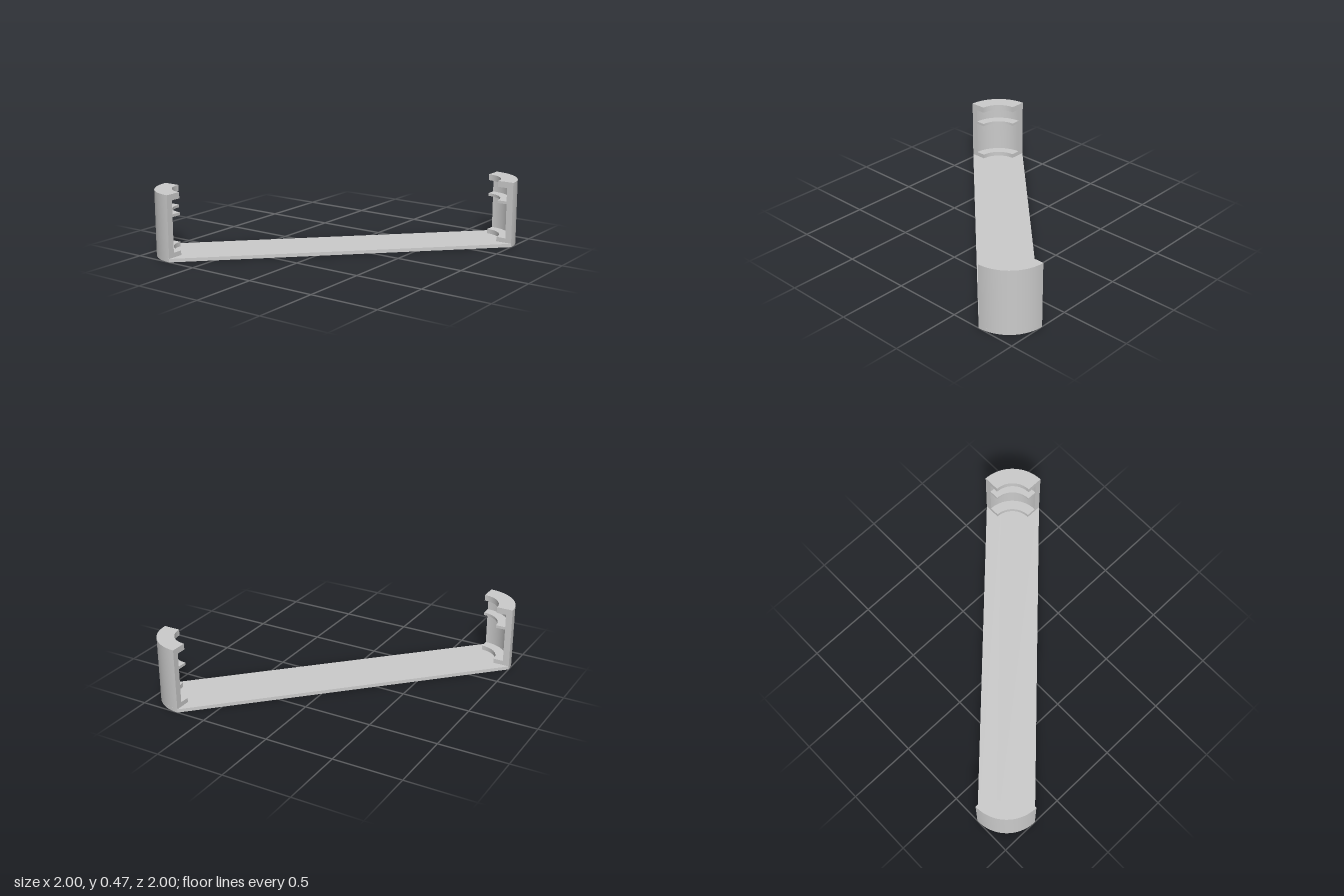
import * as THREE from 'three';
import { toCreasedNormals } from 'three/addons/utils/BufferGeometryUtils.js';

const CENTRE = 0.717, OUTER = 0.283, WALL = 0.235, RIB = 0.163;
const PLATE = 0.025, HEIGHT = 0.472, SEGMENTS = 24;

export function createModel() {
  const model = new THREE.Group();
  const material = new THREE.MeshStandardMaterial({ color: 0xcccccc });
  const capMaterial = new THREE.MeshStandardMaterial({ color: 0xcccccc, side: THREE.DoubleSide });

  const add = (parent, name, geometry, mat = material) => {
    const mesh = new THREE.Mesh(geometry, mat);
    mesh.name = name;
    parent.add(mesh);
    return mesh;
  };

  // Diagonal base strip with a quarter-round end under each post
  const outline = new THREE.Shape();
  outline.absarc(CENTRE, CENTRE, OUTER, 0, Math.PI / 2);
  outline.absarc(-CENTRE, -CENTRE, OUTER, Math.PI, Math.PI * 1.5);
  outline.closePath();
  const strip = new THREE.ExtrudeGeometry(outline, { depth: PLATE, bevelEnabled: false, curveSegments: SEGMENTS });
  strip.rotateX(-Math.PI / 2);
  add(model, 'baseStrip', toCreasedNormals(strip, 0.5));

  // Post section (radius, height): thin wall with three inward ribs
  const section = [
    [OUTER, PLATE], [OUTER, HEIGHT],
    [RIB, HEIGHT], [RIB, 0.428], [WALL, 0.428],
    [WALL, 0.33], [RIB, 0.33], [RIB, 0.31], [WALL, 0.31],
    [WALL, 0.058], [RIB, 0.058], [RIB, PLATE],
  ].map(([r, y]) => new THREE.Vector2(r, y));

  const shell = toCreasedNormals(
    new THREE.LatheGeometry([...section, section[0]], SEGMENTS, Math.PI / 2, Math.PI / 2), 0.5);
  const cap = new THREE.ShapeGeometry(new THREE.Shape(section));

  // Ribbed quarter-round posts, the second turned half a circle
  for (const side of [1, -1]) {
    const post = new THREE.Group();
    post.name = side > 0 ? 'leftPost' : 'rightPost';
    add(post, 'ribbedWall', shell);
    add(post, 'frontEndFace', cap, capMaterial);
    add(post, 'sideEndFace', cap, capMaterial).rotation.y = Math.PI / 2;
    post.position.set(side * CENTRE, 0, -side * CENTRE);
    post.rotation.y = side > 0 ? 0 : Math.PI;
    model.add(post);
  }
  return model;
}
